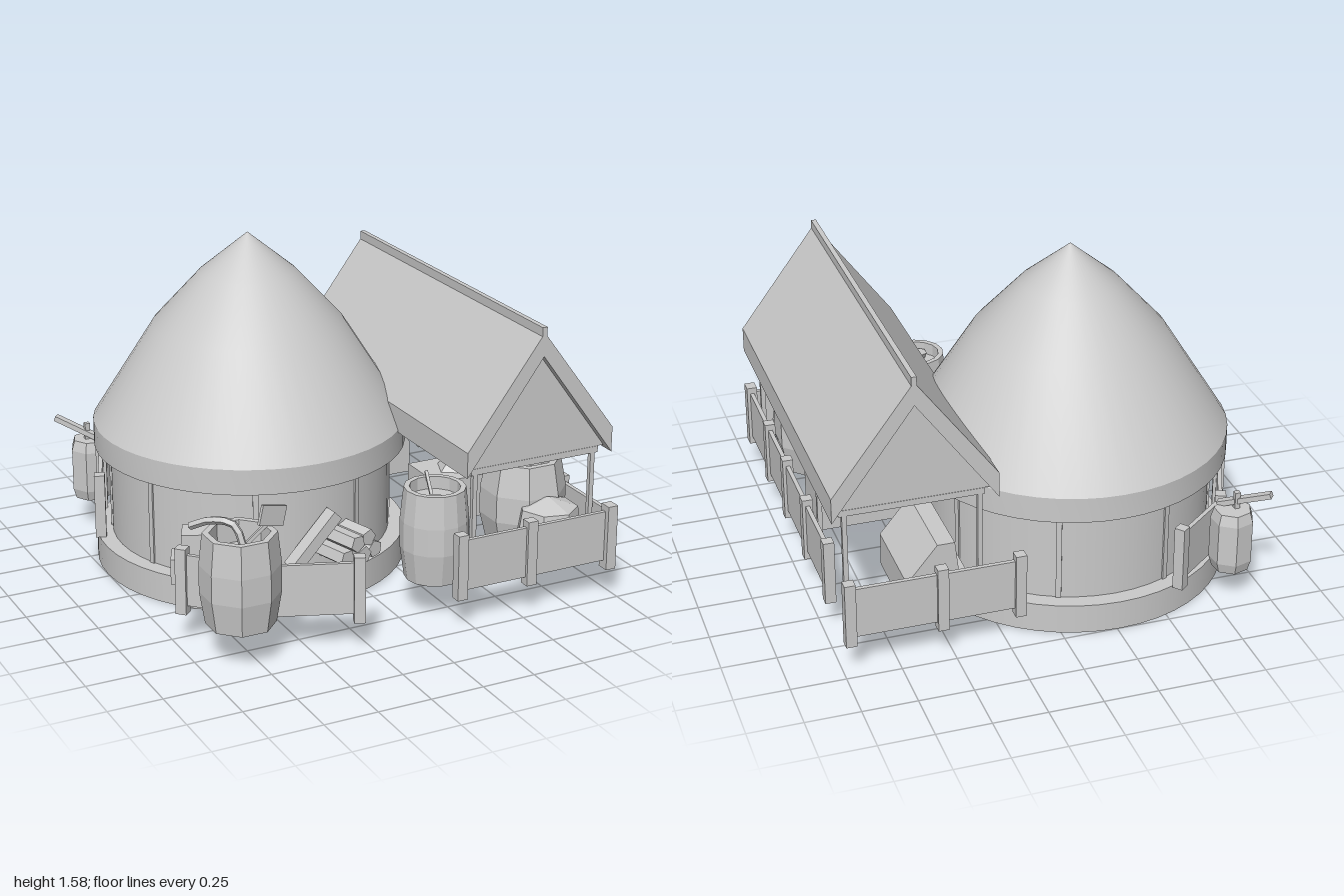
import * as THREE from 'three';
import { toCreasedNormals } from 'three/addons/utils/BufferGeometryUtils.js';

export function createModel() {
  const model = new THREE.Group();
  model.name = 'hutAndShed';
  const grey = new THREE.MeshStandardMaterial({ color: 0xcacaca });
  grey.name = 'plainGrey';

  const add = (name, geo, x = 0, y = 0, z = 0, parent = model) => {
    const mesh = new THREE.Mesh(geo, grey);
    mesh.name = name;
    mesh.position.set(x, y, z);
    parent.add(mesh);
    return mesh;
  };
  const group = (name, x = 0, y = 0, z = 0) => {
    const g = new THREE.Group();
    g.name = name;
    g.position.set(x, y, z);
    model.add(g);
    return g;
  };
  const faceted = (geo) => toCreasedNormals(geo, 0.02);
  const lathe = (pts, sides, start = 0) =>
    new THREE.LatheGeometry(pts.map(([r, y]) => new THREE.Vector2(r, y)), sides, start);
  const extrude = (pts, depth) => new THREE.ExtrudeGeometry(
    new THREE.Shape(pts.map(([x, y]) => new THREE.Vector2(x, y))), { depth, bevelEnabled: false });
  // box given by its minimum and maximum corners
  const box = (name, x0, x1, y0, y1, z0, z1, parent = model) =>
    add(name, new THREE.BoxGeometry(x1 - x0, y1 - y0, z1 - z0),
      (x0 + x1) / 2, (y0 + y1) / 2, (z0 + z1) / 2, parent);

  // Round hut: base, wall, wall posts and bell-shaped thatch with a sloping soffit
  const hut = group('roundHut', -0.265, 0, -0.265);
  add('stoneBase', new THREE.CylinderGeometry(0.735, 0.735, 0.14, 48), 0, 0.07, 0, hut);
  add('hutWall', new THREE.CylinderGeometry(0.66, 0.66, 0.54, 48, 1, true), 0, 0.41, 0, hut);
  for (let i = 0; i < 8; i++) {
    const a = ((i + 0.5) / 8) * Math.PI * 2;
    const post = add('wallPost', new THREE.BoxGeometry(0.025, 0.52, 0.03),
      Math.sin(a) * 0.652, 0.4, Math.cos(a) * 0.652, hut);
    post.rotation.y = a;
  }
  add('hutRoof', toCreasedNormals(lathe([[0.655, 0.66], [0.735, 0.57], [0.735, 0.69],
    [0.445, 1.15], [0.225, 1.39], [0, 1.575]], 48), 0.5), 0, 0, 0, hut);

  // Shed: chevron roof, ridge cap, gables and posts
  const shed = group('shed', 0.625, 0, 0);
  add('shedRoof', extrude([[-0.375, 0.68], [0, 1.19], [0.375, 0.68], [0.375, 0.8],
    [0, 1.3], [-0.375, 0.8]], 1.73), 0, 0, -0.83, shed);
  box('ridgeCap', -0.012, 0.012, 1.27, 1.325, -0.83, 0.9, shed);
  for (const z of [0.845, -0.755]) {
    add('gable', extrude([[-0.365, 0.7], [0.365, 0.7], [0, 1.197]], 0.02), 0, 0, z - 0.01, shed);
    box('tieBeam', -0.33, 0.33, 0.67, 0.7, z - 0.012, z + 0.012, shed);
  }
  for (const x of [-0.308, 0.304]) {
    box('eaveBeam', x - 0.012, x + 0.012, 0.67, 0.7, -0.755, 0.845, shed);
    for (const z of [0.845, -0.295, -0.755])
      box('shedPost', x - 0.011, x + 0.011, 0.14, 0.68, z - 0.011, z + 0.011, shed);
  }

  // Fences: square posts joined by flat panels
  const fence = (points) => {
    const g = group('fence');
    points.forEach(([x, z], i) => {
      const next = points[i + 1], from = next || points[i - 1];
      const a = Math.atan2(-(from[1] - z), from[0] - x);
      add('fencePost', new THREE.BoxGeometry(0.05, 0.31, 0.05), x, 0.295, z, g).rotation.y = a;
      if (!next) return;
      add('fencePanel', new THREE.BoxGeometry(Math.hypot(next[0] - x, next[1] - z), 0.24, 0.02),
        (x + next[0]) / 2, 0.3, (z + next[1]) / 2, g).rotation.y = a;
    });
  };
  fence([[0.195, 0.955], [0.55, 0.955], [0.965, 0.955]]);
  fence([[0.965, 0.965], [0.965, 0.555], [0.965, 0.19], [0.965, -0.195], [0.965, -0.585]]);
  fence([[0.195, -0.95], [0.55, -0.95], [0.965, -0.95]]);
  fence([[-0.96, 0.54], [-0.7, 0.81], [-0.31, 0.96]]);
  fence([[-0.56, -0.965], [-0.84, -0.74], [-0.975, -0.41]]);

  // Barrels with a sunken top
  const barrel = (name, x, z, y0, y1, rEnd, rMid, sides, sink) => {
    const h = y1 - y0, ri = rEnd * 0.82;
    add(name, faceted(lathe([[0, y0], [rEnd * 0.95, y0], [rMid, y0 + h * 0.35], [rMid, y0 + h * 0.65],
      [rEnd, y1], [ri, y1], [ri, y1 - sink], [0, y1 - sink]], sides, Math.PI / sides)), x, 0, z);
  };
  barrel('toolBarrel', -0.807, 0.815, 0.18, 0.6, 0.162, 0.178, 8, 0.1);
  barrel('waterBarrel', 0.17, 0.755, 0.18, 0.61, 0.14, 0.155, 14, 0.06);
  barrel('wideBarrel', 0.73, 0.59, 0.18, 0.6, 0.172, 0.2, 8, 0.1);
  // Plain keg at the back
  add('smallKeg', faceted(lathe([[0, 0.15], [0.085, 0.15], [0.1, 0.2], [0.1, 0.4], [0.085, 0.45], [0, 0.45]],
    7, 0.3)), -0.84, 0, -0.88);

  // Sticks between two points
  const stick = (name, a, b, w, t) => {
    const p = new THREE.Vector3(...a), q = new THREE.Vector3(...b);
    const m = add(name, new THREE.BoxGeometry(w, t, p.distanceTo(q)));
    m.position.copy(p).add(q).multiplyScalar(0.5);
    m.lookAt(q);
    return m;
  };
  // Tools in the front barrel
  stick('toolHandle', [-0.79, 0.5, 0.78], [-0.66, 0.63, 0.815], 0.016, 0.016);
  const head = add('toolHead', new THREE.BoxGeometry(0.13, 0.09, 0.015), -0.657, 0.65, 0.82);
  head.rotation.set(0, 0.2, -0.25);
  const bend = new THREE.CatmullRomCurve3([[-0.8, 0.52, 0.85], [-0.83, 0.635, 0.81],
    [-0.9, 0.64, 0.73], [-0.965, 0.595, 0.65]].map((p) => new THREE.Vector3(...p)));
  add('curvedTool', faceted(new THREE.TubeGeometry(bend, 8, 0.018, 5)));
  // Ladle in the round barrel
  stick('ladleHandle', [0.14, 0.54, 0.8], [0.2, 0.625, 0.62], 0.014, 0.014);
  add('ladleBowl', faceted(new THREE.CylinderGeometry(0.045, 0.03, 0.04, 6)), 0.14, 0.56, 0.81);

  // Tilted board and upright peg on the keg
  stick('tiltedBoard', [-0.795, 0.45, -0.815], [-0.98, 0.545, -0.975], 0.035, 0.025);
  box('kegPeg', -0.87, -0.845, 0.44, 0.53, -0.89, -0.865);

  // Firewood with a leaning beam
  const logs = group('firewood', -0.1, 0, 0.42);
  logs.rotation.y = 0.28;
  [[-0.1, 0.245], [-0.015, 0.245], [0.07, 0.245], [-0.055, 0.31], [0.03, 0.31]].forEach(([x, y], i) => {
    const log = add('log', faceted(new THREE.CylinderGeometry(0.042, 0.042, 0.24, 5)), x, y, (i % 2) * 0.02, logs);
    log.rotation.set(Math.PI / 2, i * 0.4, 0);
  });
  stick('leaningBeam', [-0.39, 0.2, 0.45], [-0.165, 0.42, 0.43], 0.07, 0.055);

  // Crates beside the hut
  const crates = group('crates', -0.77, 0, 0.29);
  crates.rotation.y = -0.45;
  box('lowerCrate', -0.13, 0.16, 0.15, 0.27, -0.09, 0.04, crates);
  box('upperCrate', -0.08, 0.1, 0.27, 0.39, -0.08, 0.04, crates);

  // Goods under the shed: a sloping chest, a grain trough and a sack
  box('chestBody', 0.4, 0.68, 0.17, 0.33, -0.86, -0.41);
  add('chestLid', extrude([[0.44, 0.33], [0.68, 0.33], [0.54, 0.5], [0.46, 0.5]], 0.44), 0, 0, -0.85);
  box('trough', 0.47, 0.87, 0.17, 0.38, -0.04, 0.24);
  const heap = add('grainHeap', faceted(new THREE.ConeGeometry(0.15, 0.18, 5)), 0.67, 0.41, 0.1);
  heap.scale.x = 1.2;
  const sack = add('sack', faceted(lathe([[0, 0.18], [0.12, 0.18], [0.155, 0.3], [0.135, 0.42], [0, 0.465]], 7)), 0.745, 0, 0.79);
  sack.rotation.y = 0.2;

  return model;
}
